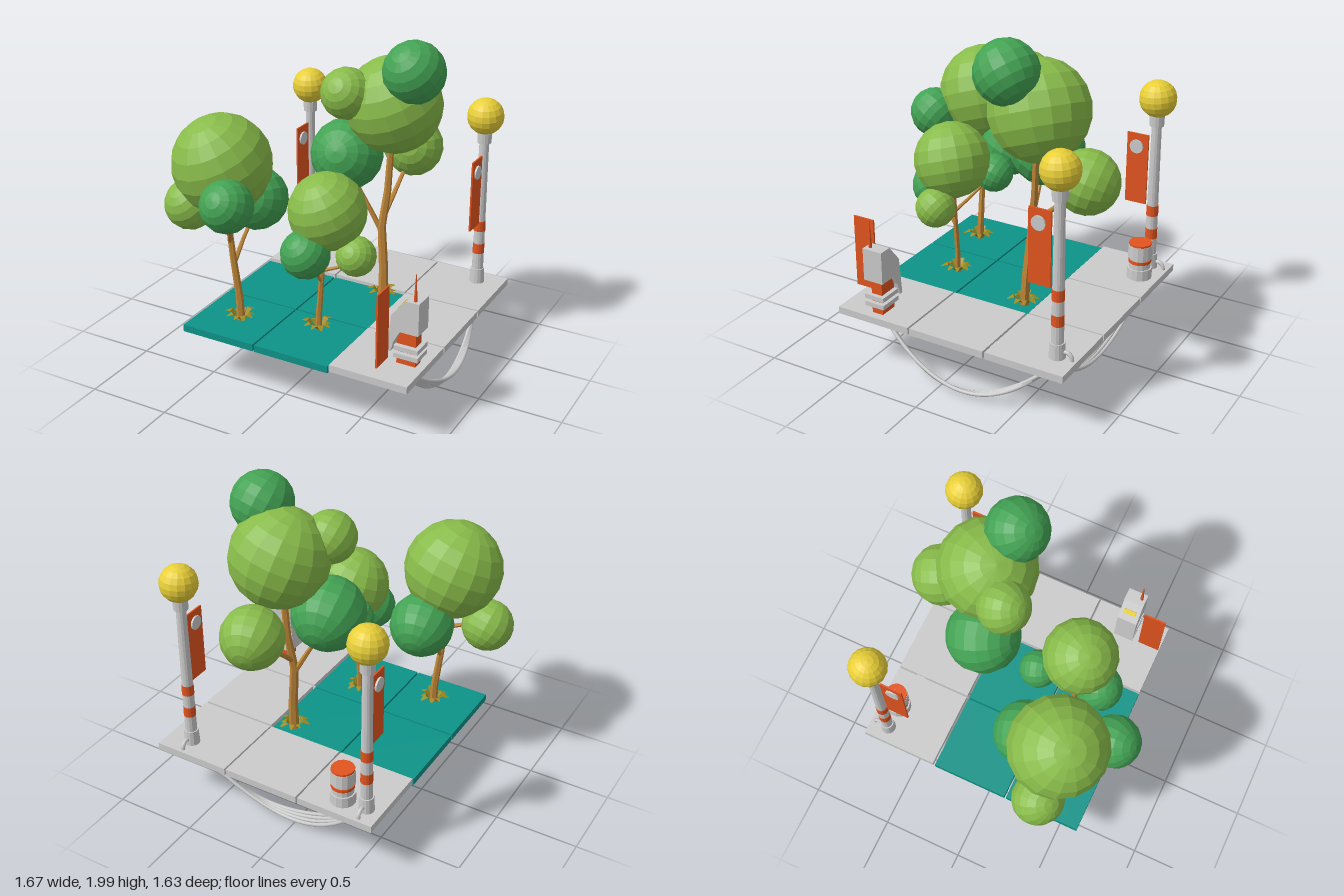
import * as THREE from 'three';

const mat = (color, opts = {}) => new THREE.MeshStandardMaterial({ color, flatShading: true, ...opts });
const M = {
  grey: mat(0xcccccc), teal: mat(0x0e9488), orange: mat(0xe2541f), yellow: mat(0xe8cf38),
  light: mat(0x88bb4a), dark: mat(0x43a354), bark: mat(0xbf8638),
  leaf: mat(0xa08a20, { side: THREE.DoubleSide }),
  cable: new THREE.MeshStandardMaterial({ color: 0xcccccc }),
};
const V = (a) => new THREE.Vector3(...a);

function add(parent, name, geo, material, pos = [0, 0, 0]) {
  const m = new THREE.Mesh(geo, material);
  m.name = name;
  m.position.set(...pos);
  parent.add(m);
  return m;
}
const box = (p, name, size, material, pos) => add(p, name, new THREE.BoxGeometry(...size), material, pos);
// Upright cylinder between two heights
const cyl = (p, name, r0, r1, y0, y1, material, x = 0, z = 0, sides = 14) =>
  add(p, name, new THREE.CylinderGeometry(r1, r0, y1 - y0, sides), material, [x, (y0 + y1) / 2, z]);
function group(parent, name) {
  const g = new THREE.Group();
  g.name = name;
  parent.add(g);
  return g;
}

// Tapered branch through a list of points
function limb(parent, name, pts, r0, r1) {
  const n = pts.length - 1;
  for (let i = 0; i < n; i++) {
    const a = V(pts[i]), b = V(pts[i + 1]), d = b.clone().sub(a);
    const r = (t) => r0 + (r1 - r0) * t / n;
    const m = add(parent, name, new THREE.CylinderGeometry(r(i + 1), r(i), d.length() + 0.01, 6), M.bark);
    m.position.copy(a.add(b).multiplyScalar(0.5));
    m.quaternion.setFromUnitVectors(new THREE.Vector3(0, 1, 0), d.normalize());
  }
}

function tree(parent, name, trunk, radius, branches, balls) {
  const g = group(parent, name);
  limb(g, 'trunk', trunk, radius, radius * 0.6);
  for (const b of branches) limb(g, 'branch', b, radius * 0.55, radius * 0.35);
  balls.forEach(([x, y, z, r, tone], i) => {
    const m = add(g, 'foliage', new THREE.SphereGeometry(r, 16, 10), M[tone], [x, y, z]);
    m.rotation.set(0.35 + i * 0.2, i * 0.7, 0.25);
  });
  // Ring of bent leaves around the foot
  const [x, , z] = trunk[0];
  for (let i = 0; i < 9; i++) {
    const geo = new THREE.PlaneGeometry(0.04, 0.09, 2, 2);
    const p = geo.attributes.position;
    for (let k = 0; k < p.count; k++) {
      const t = p.getY(k) / 0.09 + 0.5;
      p.setXYZ(k, p.getX(k) * (t === 0.5 ? 1 : 0.25), 0.05 * Math.sin(t * 2.4), 0.02 + t * 0.075);
    }
    geo.computeVertexNormals();
    const m = add(g, 'groundLeaf', geo, M.leaf, [x, 0.375, z]);
    m.rotation.y = i * Math.PI * 2 / 9;
    m.scale.setScalar(0.8 + 0.25 * ((i * 5) % 3) / 2);
  }
}

function banner(parent, x, y, z) {
  box(parent, 'banner', [0.01, 0.44, 0.135], M.orange, [x, y, z]);
}

function lamp(parent, x, z) {
  const g = group(parent, 'lampPost');
  g.position.set(x, 0, z);
  cyl(g, 'lampBase', 0.047, 0.042, 0.38, 0.475, M.grey);
  cyl(g, 'pole', 0.035, 0.029, 0.47, 1.31, M.grey);
  cyl(g, 'collar', 0.042, 0.044, 1.30, 1.365, M.grey);
  for (const y of [0.58, 0.73]) cyl(g, 'stripe', 0.036, 0.035, y, y + 0.065, M.orange);
  const globe = add(g, 'globe', new THREE.SphereGeometry(0.11, 16, 10), M.yellow, [0, 1.465, 0]);
  globe.rotation.set(0.1, 0.2, 0);
  // Banner with a round badge on both faces
  banner(g, 0.005, 1.01, 0.11);
  const disc = add(g, 'bannerDisc', new THREE.CylinderGeometry(0.042, 0.042, 0.032, 14), M.grey, [0.005, 1.15, 0.115]);
  disc.rotation.z = Math.PI / 2;
  // Bent conduit into the floor
  const path = new THREE.CatmullRomCurve3([[0, 0.42, -0.03], [0, 0.425, -0.06], [0, 0.405, -0.085], [0, 0.36, -0.09]].map(V));
  add(g, 'conduit', new THREE.TubeGeometry(path, 10, 0.012, 8), M.cable);
}

// Bundle of cables sagging between two points and bowing sideways
function cables(parent, name, a, b, bow) {
  const g = group(parent, name);
  for (let i = 0; i < 4; i++) {
    const k = i - 1.5, pts = [];
    for (let j = 0; j <= 12; j++) {
      const t = j / 12, s = 4 * t * (1 - t);
      const p = V(a).lerp(V(b), t).addScaledVector(V(bow), s * (1 + k * 0.18) - 0.15 * k * (t - 0.3));
      p.y = 0.35 - s * (0.325 - 0.008 * i) + 0.02 * Math.sin(t * Math.PI * 2) * k / 2;
      pts.push(p);
    }
    add(g, 'cable', new THREE.TubeGeometry(new THREE.CatmullRomCurve3(pts), 40, 0.011, 8), M.cable);
  }
}

export function createModel() {
  const root = new THREE.Group();
  root.name = 'parkPlatform';

  // Nine floor tiles; four are planted and sit a little lower
  const xs = [-0.373, 0.112, 0.596], zs = [-0.58, -0.093, 0.393];
  xs.forEach((x, i) => zs.forEach((z, j) => {
    const planted = i < 2 && j > 0;
    box(root, planted ? 'plantedTile' : 'pavingTile', [0.474, 0.043, 0.474],
      planted ? M.teal : M.grey, [x, planted ? 0.347 : 0.361, z]);
  }));
  box(root, 'tileClip', [0.02, 0.02, 0.06], M.grey, [-0.13, 0.36, -0.665]);
  box(root, 'tileClip', [0.06, 0.02, 0.02], M.grey, [0.72, 0.36, -0.337]);
  box(root, 'tileClip', [0.04, 0.02, 0.02], M.grey, [0.37, 0.36, 0.15]);

  lamp(root, -0.515, -0.70);
  lamp(root, 0.673, -0.70);

  // Barrel
  const barrel = group(root, 'barrel');
  barrel.position.set(-0.365, 0, -0.70);
  cyl(barrel, 'barrelBody', 0.064, 0.064, 0.38, 0.60, M.grey);
  cyl(barrel, 'barrelFoot', 0.075, 0.073, 0.385, 0.45, M.grey);
  cyl(barrel, 'barrelBand', 0.068, 0.068, 0.485, 0.505, M.orange);
  cyl(barrel, 'barrelUpper', 0.073, 0.07, 0.52, 0.60, M.grey);
  cyl(barrel, 'barrelLid', 0.068, 0.068, 0.595, 0.612, M.orange);

  // Kiosk: orange core, grey shelves and an overhanging hood
  const kiosk = group(root, 'kiosk');
  box(kiosk, 'kioskCore', [0.115, 0.25, 0.07], M.orange, [0.727, 0.50, 0.39]);
  for (const y of [0.445, 0.492]) box(kiosk, 'shelf', [0.145, 0.027, 0.125], M.grey, [0.737, y, 0.392]);
  const hood = new THREE.Shape([[0.81, 0.79], [0.73, 0.79], [0.645, 0.685], [0.625, 0.46], [0.645, 0.46],
    [0.665, 0.53], [0.70, 0.595], [0.81, 0.595]].map(([x, y]) => new THREE.Vector2(x, y)));
  add(kiosk, 'hood', new THREE.ExtrudeGeometry(hood, { depth: 0.125, bevelEnabled: false }), M.grey, [0, 0, 0.33]);
  const win = box(kiosk, 'window', [0.03, 0.008, 0.08], M.yellow, [0.685, 0.735, 0.392]);
  win.rotation.z = Math.atan2(0.105, 0.085);
  cyl(kiosk, 'antenna', 0.011, 0.002, 0.785, 0.95, M.orange, 0.775, 0.427, 8);
  banner(kiosk, 0.647, 0.665, 0.56);

  cables(root, 'backCables', [-0.49, 0, -0.70], [0.67, 0, -0.71], [0, 0, 0.085]);
  cables(root, 'sideCables', [0.69, 0, 0.43], [0.67, 0, -0.71], [0.085, 0, 0]);

  tree(root, 'wideTree',
    [[-0.35, 0.29, 0.41], [-0.36, 0.5, 0.405], [-0.395, 0.78, 0.41], [-0.43, 1.1, 0.41]], 0.026,
    [[[-0.39, 0.72, 0.41], [-0.375, 0.86, 0.32], [-0.36, 0.98, 0.22]],
      [[-0.41, 0.86, 0.41], [-0.34, 1.0, 0.52], [-0.27, 1.15, 0.62]],
      [[-0.42, 0.93, 0.41], [-0.6, 1.02, 0.40]]],
    [[-0.447, 1.335, 0.408, 0.288, 'light'], [-0.685, 1.035, 0.40, 0.152, 'light'],
      [-0.255, 1.21, 0.662, 0.152, 'dark'], [-0.37, 1.055, 0.18, 0.188, 'dark']]);

  tree(root, 'tallTree',
    [[0.245, 0.32, -0.255], [0.24, 0.55, -0.265], [0.215, 0.82, -0.28], [0.235, 1.05, -0.31], [0.245, 1.35, -0.325]], 0.031,
    [[[0.22, 0.78, -0.28], [0.13, 0.95, -0.26], [0.03, 1.12, -0.25]],
      [[0.22, 0.88, -0.29], [0.23, 1.0, -0.42], [0.24, 1.15, -0.58]]],
    [[0.247, 1.575, -0.343, 0.288, 'light'], [0.418, 1.82, -0.24, 0.182, 'dark'],
      [0.043, 1.665, -0.145, 0.152, 'light'], [-0.01, 1.25, -0.255, 0.217, 'dark'],
      [0.243, 1.22, -0.638, 0.183, 'light']]);

  tree(root, 'smallTree',
    [[0.10, 0.32, 0.29], [0.105, 0.5, 0.285], [0.125, 0.75, 0.285], [0.145, 1.0, 0.28]], 0.02,
    [[[0.12, 0.68, 0.285], [0.11, 0.76, 0.34], [0.10, 0.85, 0.41]],
      [[0.125, 0.75, 0.285], [0.24, 0.8, 0.28], [0.31, 0.87, 0.28]],
      [[0.125, 0.78, 0.285], [0.08, 0.9, 0.18], [0.03, 1.0, 0.1]]],
    [[0.155, 1.122, 0.278, 0.224, 'light'], [0.10, 0.91, 0.43, 0.142, 'dark'],
      [0.338, 0.89, 0.28, 0.116, 'light'], [0.015, 1.03, 0.08, 0.112, 'dark']]);

  return root;
}
